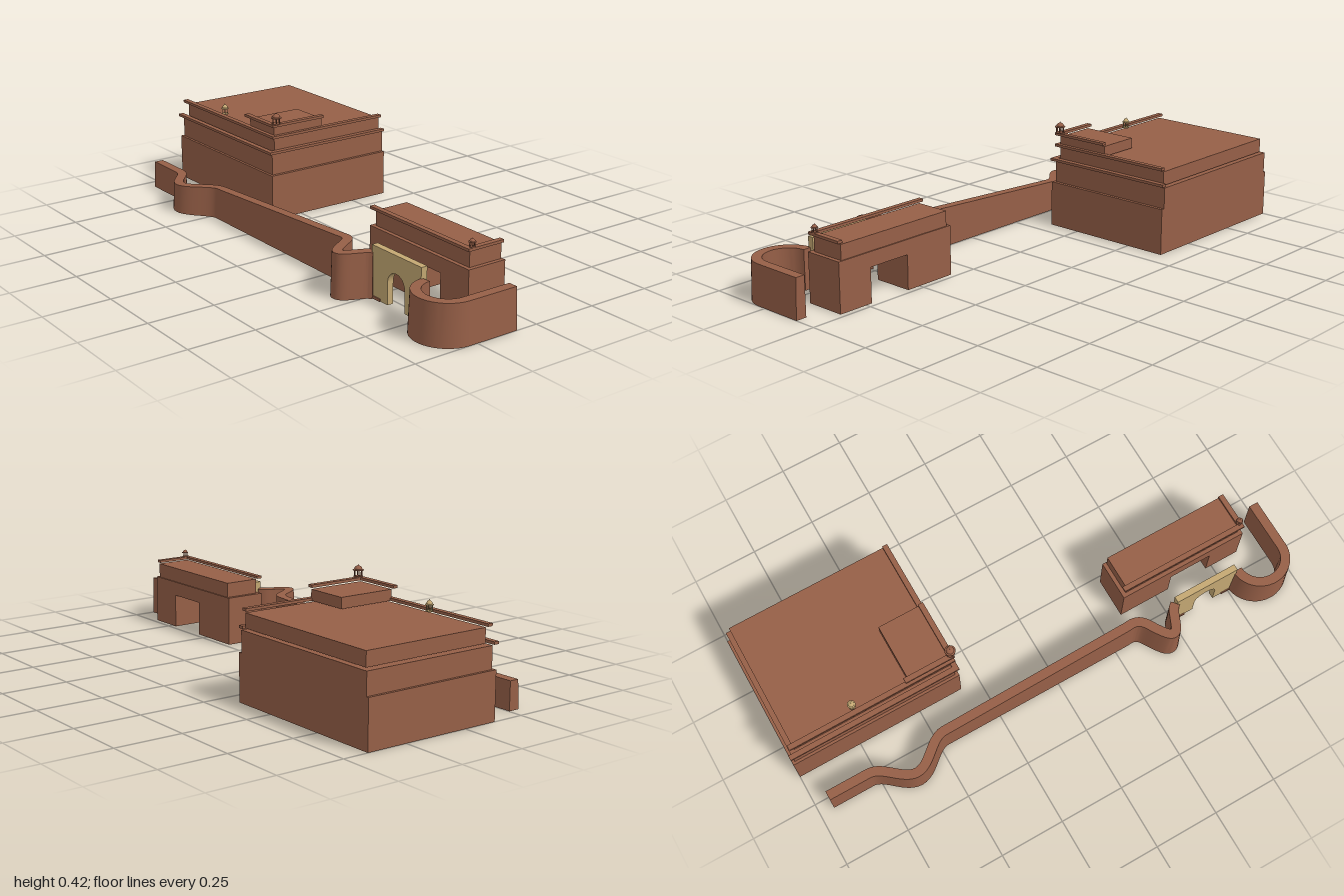
import * as THREE from 'three';
import { toCreasedNormals } from 'three/addons/utils/BufferGeometryUtils.js';

const sandstone = new THREE.MeshStandardMaterial({ color: 0x965f47 });
sandstone.name = 'red sandstone';
const cream = new THREE.MeshStandardMaterial({ color: 0xc4a873 });
cream.name = 'cream stone';

function add(parent, name, geometry, material = sandstone) {
  const mesh = new THREE.Mesh(geometry, material);
  mesh.name = name;
  parent.add(mesh);
  return mesh;
}

// Box given by its limits on each axis
function block(parent, name, [x0, x1], [y0, y1], [z0, z1]) {
  const mesh = add(parent, name, new THREE.BoxGeometry(x1 - x0, y1 - y0, z1 - z0));
  mesh.position.set((x0 + x1) / 2, (y0 + y1) / 2, (z0 + z1) / 2);
}

// Thin eaves along the front and the +x side of a storey
function eaves(parent, [x0, x1], [z0, z1], y, out = 0.015) {
  const h = [y, y + 0.01];
  block(parent, 'frontEave', [x0 - out, x1 + out], h, [z1 - 0.005, z1 + out]);
  block(parent, 'sideEave', [x1 - 0.005, x1 + out], h, [z0, z1 - 0.005]);
}

// Domed kiosk on six columns; r is the eave radius
function kiosk(parent, name, x, y, z, r, h, material) {
  const g = new THREE.Group();
  g.name = name;
  g.position.set(x, y, z);
  add(g, 'kioskBase', new THREE.CylinderGeometry(r * 0.85, r * 0.85, h * 0.08, 12), material)
    .position.y = h * 0.04;
  for (let i = 0; i < 6; i++) {
    const a = (i + 0.5) * Math.PI / 3;
    add(g, 'kioskColumn', new THREE.CylinderGeometry(r * 0.09, r * 0.11, h * 0.5, 8), material)
      .position.set(Math.cos(a) * r * 0.7, h * 0.31, Math.sin(a) * r * 0.7);
  }
  const dome = [[0, 0.54], [0.78, 0.54], [1, 0.53], [1, 0.57], [0.72, 0.62], [0.68, 0.71],
    [0.5, 0.81], [0.25, 0.88], [0.07, 0.91], [0.05, 1], [0, 1]]
    .map(([px, py]) => new THREE.Vector2(px * r, py * h));
  add(g, 'kioskDome', toCreasedNormals(new THREE.LatheGeometry(dome, 16), 0.6), material);
  parent.add(g);
}

// Wall swept along a ground path, battered on its outer face
function wallGeometry(path, heightAt) {
  const rings = path.map((p, i) => {
    const t = path[Math.min(i + 1, path.length - 1)].clone().sub(path[Math.max(i - 1, 0)]).normalize();
    const h = heightAt(p.x);
    return [[0.024, 0], [0.018, h], [-0.018, h], [-0.018, 0]]
      .map(([o, y]) => [p.x - t.y * o, y, p.y + t.x * o]);
  });
  const pos = [];
  const quad = (a, b, c, d) => pos.push(...a, ...b, ...c, ...a, ...c, ...d);
  for (let i = 0; i < rings.length - 1; i++) {
    const r = rings[i], s = rings[i + 1];
    for (let k = 0; k < 4; k++) quad(r[k], s[k], s[(k + 1) % 4], r[(k + 1) % 4]);
  }
  quad(...rings[0]);
  quad(...rings[rings.length - 1].slice().reverse());
  const geo = new THREE.BufferGeometry();
  geo.setAttribute('position', new THREE.Float32BufferAttribute(pos, 3));
  return toCreasedNormals(geo, 0.6);
}

export function createModel() {
  const model = new THREE.Group();
  model.name = 'fortPalace';

  // Palace: stacked, stepped storeys
  const palace = new THREE.Group();
  palace.name = 'palace';
  model.add(palace);
  block(palace, 'palaceBase', [-1, -0.325], [0, 0.175], [-0.405, 0.13]);
  block(palace, 'middleStorey', [-0.99, -0.338], [0.175, 0.255], [-0.405, 0.12]);
  eaves(palace, [-0.985, -0.34], [-0.405, 0.122], 0.259);
  block(palace, 'upperStorey', [-0.972, -0.345], [0.26, 0.313], [-0.393, 0.105]);
  eaves(palace, [-0.972, -0.345], [-0.393, 0.105], 0.318);
  block(palace, 'roofPavilion', [-0.51, -0.345], [0.318, 0.358], [-0.115, 0.105]);
  eaves(palace, [-0.51, -0.345], [-0.115, 0.105], 0.363);
  kiosk(palace, 'cornerKiosk', -0.337, 0.373, 0.1, 0.02, 0.046, sandstone);
  kiosk(palace, 'creamKiosk', -0.725, 0.322, 0.085, 0.015, 0.043, cream);

  // Gatehouse: block with a passage cut through it, and one storey above
  const gatehouse = new THREE.Group();
  gatehouse.name = 'gatehouse';
  model.add(gatehouse);
  const portal = new THREE.Shape([[0.345, 0], [0.555, 0], [0.555, 0.13], [0.725, 0.13], [0.725, 0],
    [0.865, 0], [0.865, 0.185], [0.345, 0.185]].map(p => new THREE.Vector2(...p)));
  add(gatehouse, 'gatehouseBase', new THREE.ExtrudeGeometry(portal, { depth: 0.155, bevelEnabled: false }))
    .position.z = 0.02;
  block(gatehouse, 'gatehouseStorey', [0.36, 0.85], [0.185, 0.241], [0.025, 0.16]);
  eaves(gatehouse, [0.36, 0.847], [0.025, 0.16], 0.245);
  kiosk(gatehouse, 'gatehouseKiosk', 0.852, 0.255, 0.152, 0.013, 0.032, sandstone);

  // Cream gate with an arched opening
  const gate = new THREE.Shape();
  gate.moveTo(0.515, 0);
  gate.lineTo(0.593, 0);
  gate.lineTo(0.593, 0.08);
  gate.absarc(0.638, 0.08, 0.045, Math.PI, 0, true);
  gate.lineTo(0.683, 0);
  gate.lineTo(0.762, 0);
  gate.lineTo(0.768, 0.19);
  gate.lineTo(0.508, 0.19);
  gate.closePath();
  add(model, 'archedGate', new THREE.ExtrudeGeometry(gate, { depth: 0.024, bevelEnabled: false, curveSegments: 16 }), cream)
    .position.z = 0.266;
  block(model, 'gatePlinth', [0.51, 0.555], [0, 0.01], [0.265, 0.294]);
  block(model, 'gatePlinth', [0.72, 0.765], [0, 0.01], [0.265, 0.294]);

  // Long wall: straight run, soft bulge, straight run, tight bastion
  const v = (x, z) => new THREE.Vector2(x, z);
  const long = [v(-0.945, 0.27)];
  for (let i = 0; i <= 24; i++) {
    const u = i / 24;
    long.push(v(-0.78 + 0.31 * u, 0.27 + 0.0425 * (1 - Math.cos(u * 2 * Math.PI))));
  }
  const bastion = [[0.3, 0.27], [0.335, 0.27], [0.365, 0.288], [0.395, 0.335], [0.42, 0.368], [0.438, 0.377],
    [0.455, 0.367], [0.475, 0.325], [0.488, 0.297], [0.505, 0.28]];
  long.push(...new THREE.SplineCurve(bastion.map(p => v(...p))).getPoints(36));
  add(model, 'longWall', wallGeometry(long,
    x => 0.105 + 0.058 * THREE.MathUtils.clamp((x + 0.72) / 1.07, 0, 1)));

  // Right wall: round bastion, then a straight return to the back
  const round = [];
  for (let i = 0; i <= 28; i++) {
    const a = Math.PI * (1 - i / 28);
    round.push(v(0.878 + 0.098 * Math.cos(a), 0.28 + 0.095 * Math.sin(a)));
  }
  round.push(v(0.976, 0.085));
  add(model, 'roundWall', wallGeometry(round, () => 0.15));

  return model;
}
